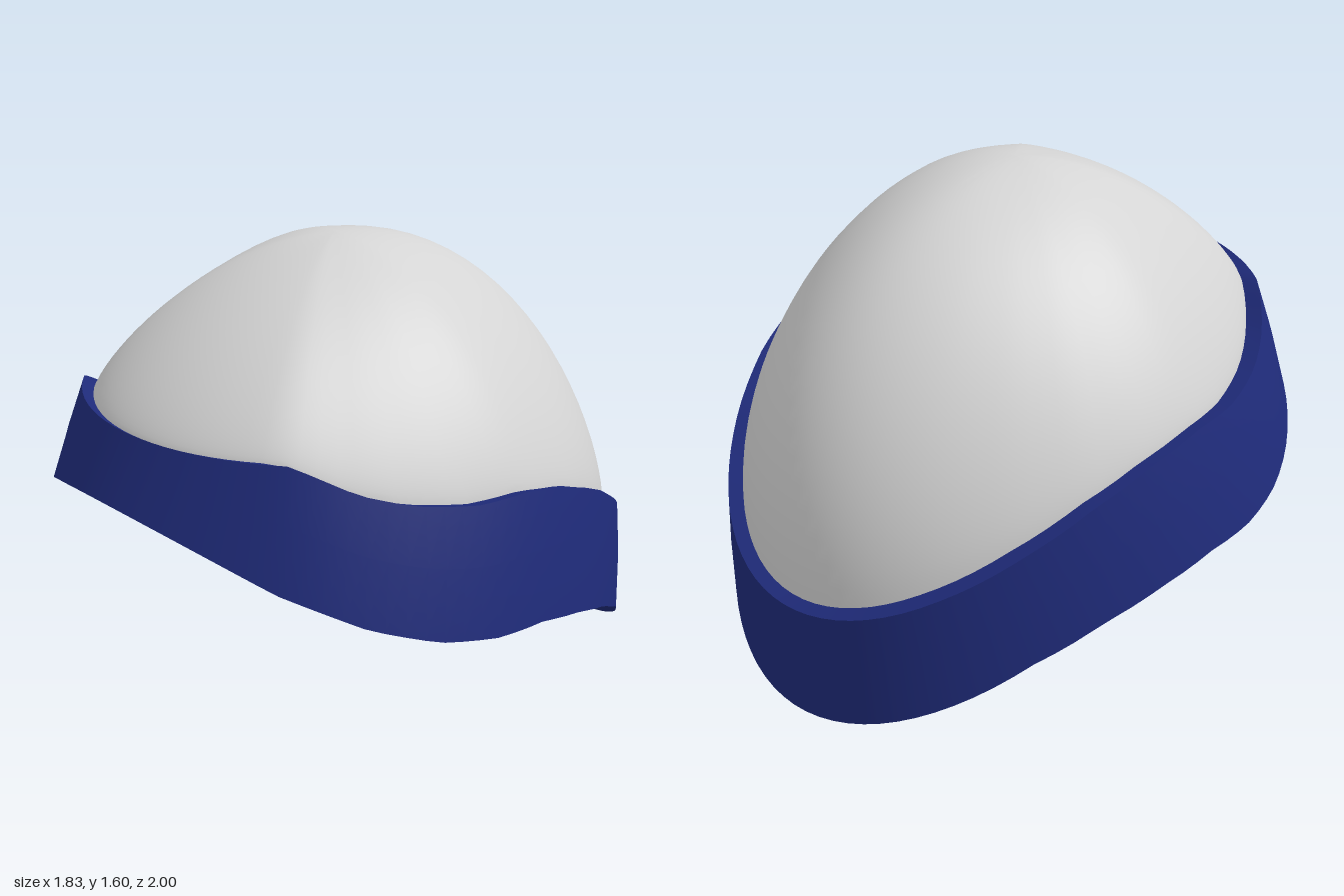
import * as THREE from 'three';
import { toCreasedNormals } from 'three/addons/utils/BufferGeometryUtils.js';

const SEGMENTS = 96;

// Heights of the band edges along z, as [z, y] knots
const LOWER_EDGE = [[-0.985, 0], [-0.8, 0.15], [-0.6, 0.31], [-0.4, 0.42], [-0.2, 0.49], [0, 0.535],
  [0.2, 0.545], [0.4, 0.58], [0.6, 0.65], [0.8, 0.76], [1, 0.92]];
const UPPER_EDGE = [[-1, 0.41], [-0.8, 0.56], [-0.6, 0.7], [-0.4, 0.82], [-0.2, 0.9], [0, 0.943],
  [0.2, 0.947], [0.4, 0.98], [0.55, 1.03], [0.7, 1.12], [1, 1.12]];

function heightAt(knots, z) {
  for (let i = 1; i < knots.length; i++) {
    const [z0, y0] = knots[i - 1], [z1, y1] = knots[i];
    if (z <= z1) return THREE.MathUtils.lerp(y0, y1, Math.max(0, (z - z0) / (z1 - z0)));
  }
  return knots[knots.length - 1][1];
}

// Egg-shaped closed loop, fuller at the front and slimmer at the back
function loop(halfWidth, zBack, zFront, fuller, slimmer, knots, lift = 0) {
  const points = [];
  for (let j = 0; j < SEGMENTS; j++) {
    const a = (j / SEGMENTS) * Math.PI * 2;
    const z = (zBack + zFront) / 2 + Math.cos(a) * (zFront - zBack) / 2;
    const x = Math.sin(a) * halfWidth * (1 + z * (z > 0 ? fuller : slimmer));
    points.push(new THREE.Vector3(x, heightAt(knots, z) + lift, z));
  }
  return points;
}

const blend = (from, to, amount) => from.map((p, j) => p.clone().lerp(to[j], amount()));

// Skin over a list of loops
function loft(loops, crease) {
  const positions = [], index = [];
  loops.forEach(points => points.forEach(p => positions.push(p.x, p.y, p.z)));
  for (let i = 0; i < loops.length - 1; i++) {
    for (let j = 0; j < SEGMENTS; j++) {
      const k = (j + 1) % SEGMENTS;
      const a = i * SEGMENTS + j, b = i * SEGMENTS + k;
      index.push(a, b, b + SEGMENTS, a, b + SEGMENTS, a + SEGMENTS);
    }
  }
  const geometry = new THREE.BufferGeometry();
  geometry.setAttribute('position', new THREE.Float32BufferAttribute(positions, 3));
  geometry.setIndex(index);
  return toCreasedNormals(geometry, crease);
}

// Dome loops rising from the lip to the crown: steep at the back, sloping at the front
function domeLoops(lip) {
  const crown = new THREE.Vector3(0, 1.605, 0.07);
  const loops = [];
  const STEPS = 24;
  for (let i = 1; i <= STEPS; i++) {
    const u = Math.max(0.0005, Math.cos((i / STEPS) * Math.PI / 2));
    loops.push(lip.map((p, j) => {
      const c = Math.cos((j / SEGMENTS) * Math.PI * 2);
      const power = c > 0 ? 2 - 0.38 * c * c : 2;
      const round = 0.8 + c * c * (c > 0 ? 0.03 : -0.3);
      const rise = Math.pow(1 - Math.pow(u, power), round);
      return new THREE.Vector3(p.x * u, p.y + (crown.y - p.y) * rise, crown.z + (p.z - crown.z) * u);
    }));
  }
  return loops;
}

export function createModel() {
  const group = new THREE.Group();
  group.name = 'knitCap';

  const lightGrey = new THREE.MeshStandardMaterial({ color: 0xd4d4d4, side: THREE.DoubleSide });
  lightGrey.name = 'lightGrey';
  const navy = new THREE.MeshStandardMaterial({ color: 0x1f2b7a, side: THREE.DoubleSide });
  navy.name = 'navy';

  // Loops of the folded band
  const hem = loop(0.912, -0.985, 1, 0.1, 0.06, LOWER_EDGE);
  const hemInside = loop(0.85, -0.955, 0.96, 0.08, 0.06, LOWER_EDGE);
  const topEdge = loop(0.83, -1, 0.9, 0.08, 0.03, UPPER_EDGE);
  const lip = loop(0.785, -0.96, 0.88, 0.02, 0.06, UPPER_EDGE, -0.012);
  const middle = blend(hem, topEdge, () => 0.55);
  middle.forEach(p => { p.x *= 1.012; });

  // Ragged seam inside, where the lining meets the band
  let seed = 7;
  const random = () => (seed = (seed * 16807) % 2147483647) / 2147483647;
  const seam = blend(hemInside, lip, () => 0.33 + 0.06 * random() + (random() > 0.92 ? 0.2 : 0));

  const dome = new THREE.Mesh(loft([seam, lip, ...domeLoops(lip)], 1.2), lightGrey);
  dome.name = 'dome';
  const band = new THREE.Mesh(loft([seam, hemInside, hem, middle, topEdge, lip], 0.7), navy);
  band.name = 'foldedBand';
  group.add(dome, band);
  return group;
}
